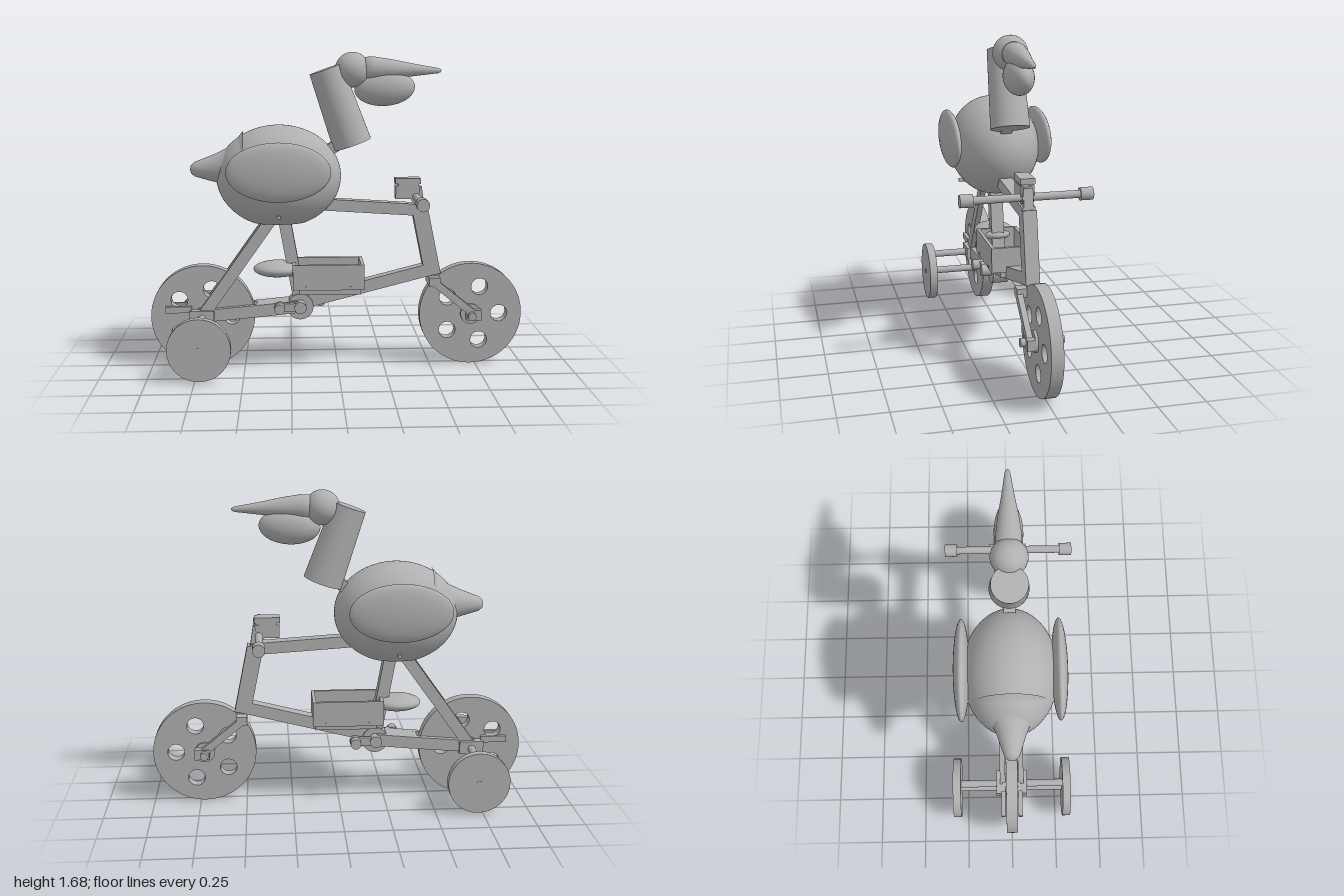
import * as THREE from 'three';

export function createModel() {
  const model = new THREE.Group();
  const grey = new THREE.MeshStandardMaterial({ color: 0xb0b0b0 });
  grey.name = 'plain grey';

  const add = (name, geo, x = 0, y = 0, z = 0) => {
    const m = new THREE.Mesh(geo, grey);
    m.name = name;
    m.position.set(x, y, z);
    model.add(m);
    return m;
  };
  const box = (name, x, y, z, w, h, d) => add(name, new THREE.BoxGeometry(w, h, d), x, y, z);
  const ball = (name, x, y, z, rx, ry, rz) =>
    add(name, new THREE.SphereGeometry(1, 48, 32).scale(rx, ry, rz), x, y, z);
  // cylinder lying along z
  const rod = (name, x, y, z, r, length) =>
    add(name, new THREE.CylinderGeometry(r, r, length, 32).rotateX(Math.PI / 2), x, y, z);
  // box beam between two points in the side plane
  const beam = (name, [x1, y1], [x2, y2], w, d, z = 0) => {
    const m = box(name, (x1 + x2) / 2, (y1 + y2) / 2, z, Math.hypot(x2 - x1, y2 - y1), w, d);
    m.rotation.z = Math.atan2(y2 - y1, x2 - x1);
    return m;
  };
  // lathe whose axis runs from point a towards point b
  const lathe = (name, profile, [x1, y1], [x2, y2]) => {
    const geo = new THREE.LatheGeometry(profile.map(([r, t]) => new THREE.Vector2(r, t)), 40);
    const m = add(name, geo, x1, y1, 0);
    m.rotation.z = Math.atan2(y2 - y1, x2 - x1) - Math.PI / 2;
    return m;
  };

  // Big wheels: discs with five round holes
  const disc = new THREE.Shape().absarc(0, 0, 0.277, 0, Math.PI * 2);
  for (let i = 0; i < 5; i++) {
    const a = i * Math.PI * 2 / 5;
    disc.holes.push(new THREE.Path().absarc(Math.cos(a) * 0.155, Math.sin(a) * 0.155, 0.045, 0, Math.PI * 2, true));
  }
  const wheelGeo = new THREE.ExtrudeGeometry(disc, { depth: 0.062, bevelEnabled: false, curveSegments: 40 });
  wheelGeo.translate(0, 0, -0.031);
  add('rearWheel', wheelGeo, -0.722, 0.28, 0);
  add('frontWheel', wheelGeo, 0.722, 0.28, 0);
  rod('rearHub', -0.722, 0.28, 0, 0.05, 0.1);
  rod('frontHub', 0.722, 0.28, 0, 0.055, 0.09);
  rod('frontAxle', 0.722, 0.28, 0, 0.022, 0.22);

  // Stabiliser wheels on two cross axles
  rod('rearAxle', -0.725, 0.28, 0, 0.02, 0.61);
  rod('stabiliserAxle', -0.725, 0.175, 0, 0.02, 0.6);
  for (const s of [1, -1]) {
    rod('stabiliserWheel', -0.725, 0.175, s * 0.306, 0.165, 0.044);
    rod('stabiliserPin', -0.725, 0.175, s * 0.327, 0.015, 0.008);
    box('rearTab', -0.85, 0.322, s * 0.047, 0.14, 0.034, 0.022);
    box('rearDropout', -0.725, 0.285, s * 0.06, 0.13, 0.07, 0.05);
    beam('chainStay', [-0.74, 0.285], [-0.4, 0.315], 0.065, 0.03, s * 0.05);
    beam('seatStay', [-0.72, 0.29], [-0.33, 0.84], 0.062, 0.03, s * 0.05);
    // Fork arms and their ends
    beam('forkArm', [0.52, 0.46], [0.735, 0.285], 0.04, 0.03, s * 0.065);
    box('forkEnd', 0.735, 0.28, s * 0.065, 0.08, 0.055, 0.04);
  }

  // Frame
  beam('stayBridge', [-0.43, 0.312], [-0.2, 0.335], 0.065, 0.13);
  beam('seatTube', [-0.3, 0.9], [-0.2, 0.34], 0.065, 0.07);
  beam('downTube', [-0.2, 0.345], [0.5, 0.525], 0.065, 0.07);
  beam('topTube', [-0.25, 0.893], [0.46, 0.848], 0.062, 0.07);
  beam('headTube', [0.44, 0.86], [0.515, 0.495], 0.085, 0.072);
  beam('steerer', [0.505, 0.52], [0.52, 0.44], 0.045, 0.05);
  box('forkCrown', 0.52, 0.465, 0, 0.06, 0.045, 0.16);

  // Handlebar, stem and lamp box
  beam('stem', [0.425, 0.97], [0.445, 0.84], 0.05, 0.05);
  box('lampBox', 0.375, 0.945, 0, 0.13, 0.07, 0.07);
  box('lampLid', 0.375, 1.005, 0, 0.135, 0.03, 0.075);
  box('lampCore', 0.38, 0.985, 0, 0.11, 0.03, 0.06);
  rod('handlebar', 0.42, 0.92, 0, 0.02, 0.66);
  rod('handlebarClamp', 0.42, 0.92, 0, 0.032, 0.06);
  for (const s of [1, -1]) rod('grip', 0.42, 0.92, s * 0.308, 0.033, 0.066);

  // Crank and pedals
  rod('chainring', -0.2, 0.33, 0, 0.07, 0.09);
  rod('crankAxle', -0.2, 0.335, 0, 0.032, 0.2);
  for (const s of [1, -1]) {
    const px = -0.2 - s * 0.11;
    beam('crankArm', [-0.2, 0.335], [px, 0.335], 0.045, 0.025, s * 0.075);
    rod('crankEnd', px, 0.335, s * 0.075, 0.03, 0.025);
    rod('pedal', px, 0.335, s * 0.1, 0.028, 0.055);
  }

  // Open crate and saddle
  box('crateMount', -0.04, 0.418, 0, 0.33, 0.036, 0.13);
  box('crateFloor', -0.05, 0.445, 0, 0.38, 0.02, 0.23);
  for (const s of [1, -1]) {
    box('crateSide', -0.05, 0.503, s * 0.106, 0.38, 0.136, 0.018);
    box('crateEnd', -0.05 + s * 0.181, 0.503, 0, 0.018, 0.136, 0.2);
    for (const x of [-0.165, 0.065]) rod('crateRivet', x, 0.45, s * 0.116, 0.008, 0.006);
  }
  ball('saddle', -0.32, 0.532, 0, 0.13, 0.043, 0.11);

  // Bird body: ellipsoid cut flat underneath
  const cut = 2.69;
  const bodyGeo = new THREE.SphereGeometry(1, 64, 48, 0, Math.PI * 2, 0, cut).scale(0.33, 0.272, 0.245);
  add('body', bodyGeo, -0.31, 1.033, 0);
  const under = new THREE.CircleGeometry(Math.sin(cut), 48).rotateX(Math.PI / 2).scale(0.33, 1, 0.245);
  add('underside', under, -0.31, 1.033 + 0.272 * Math.cos(cut), 0);
  rod('bodyPin', -0.31, 0.84, 0, 0.01, 0.4);
  for (const s of [1, -1]) ball('wing', -0.31, 1.08, s * 0.248, 0.268, 0.153, 0.042);

  // Tail, flaring smoothly into the body
  lathe('tail', [[0.19, 0], [0.135, 0.05], [0.1, 0.1], [0.075, 0.16], [0.05, 0.235], [0.038, 0.27], [0.022, 0.288], [0, 0.293]],
    [-0.485, 1.085], [-0.775, 1.07]);

  // Neck with a short peg into the body
  const neck = add('neck', new THREE.CylinderGeometry(0.09, 0.104, 0.42, 48), 0.01, 1.398, 0);
  neck.rotation.z = Math.atan2(0.14, 0.395);
  beam('neckPeg', [-0.1, 1.13], [0.03, 1.22], 0.06, 0.06);

  // Head, bill and pouch
  ball('head', 0.08, 1.592, 0, 0.092, 0.092, 0.092);
  lathe('bill', [[0, 0], [0.06, 0.01], [0.064, 0.07], [0.052, 0.17], [0.033, 0.28], [0.014, 0.41], [0.008, 0.425], [0, 0.43]],
    [0.12, 1.598], [0.548, 1.586]);
  const pouch = ball('pouch', 0.25, 1.495, 0, 0.16, 0.093, 0.072);
  pouch.rotation.z = 0.06;

  return model;
}
